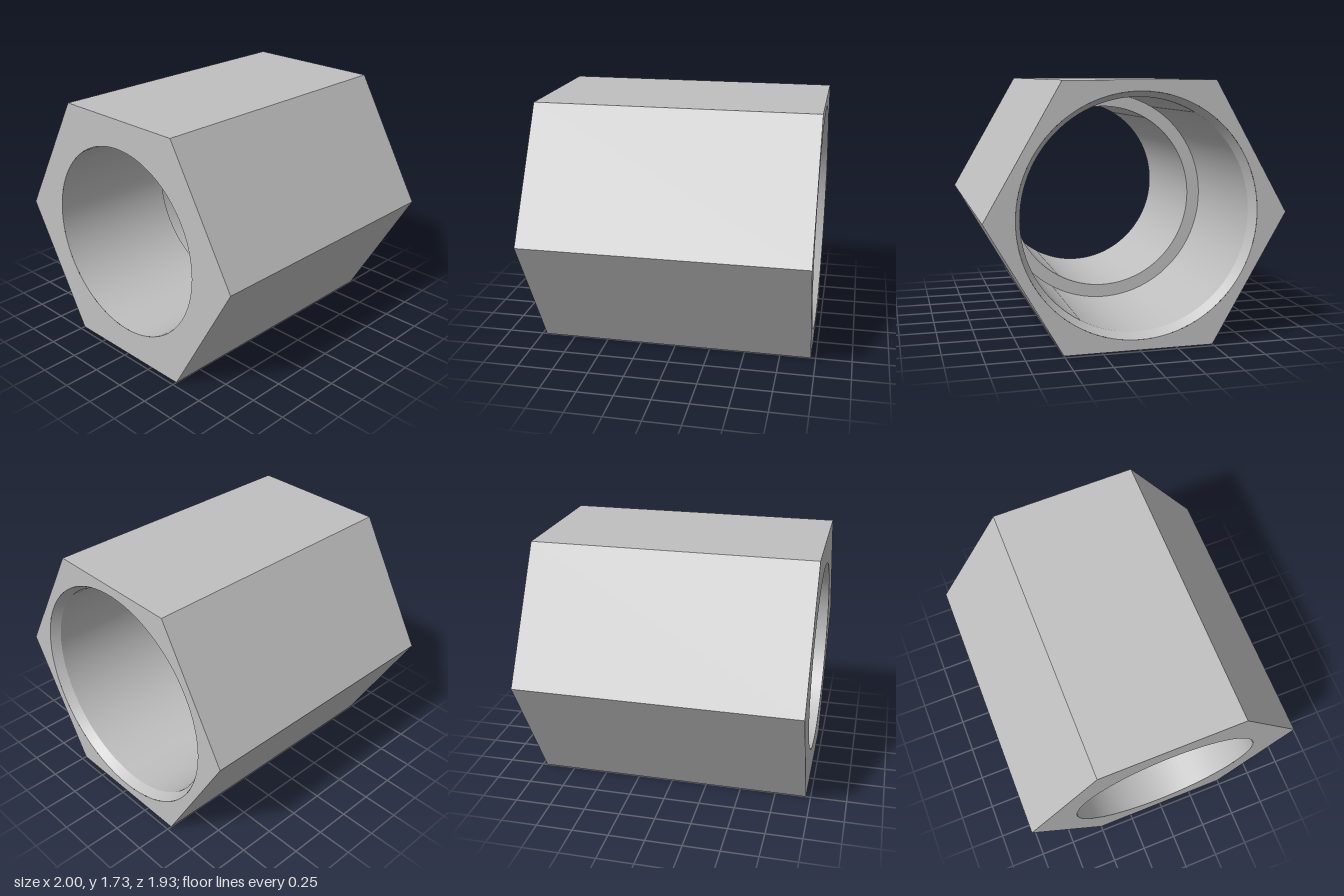
import * as THREE from 'three';

const HALF = 0.967;                 // half the length along z
const CENTRE_Y = Math.sqrt(3) / 2;  // axis height

export function createModel() {
  const group = new THREE.Group();
  group.name = 'hexCoupling';
  const steel = new THREE.MeshStandardMaterial({ color: 0xc0c0c0 });
  steel.name = 'light grey steel';

  const add = (name, geometry) => {
    const mesh = new THREE.Mesh(geometry, steel);
    mesh.name = name;
    mesh.position.y = CENTRE_Y;
    group.add(mesh);
  };

  // Six flat outer sides
  let sides = new THREE.CylinderGeometry(1, 1, 2 * HALF, 6, 1, true, Math.PI / 6);
  sides.rotateX(Math.PI / 2);
  sides = sides.toNonIndexed();
  sides.computeVertexNormals();
  add('hexSides', sides);

  // Hexagonal end faces, each with its own round opening
  const endFace = (holeRadius) => {
    const shape = new THREE.Shape();
    for (let i = 0; i < 6; i++) {
      const a = (i * Math.PI) / 3;
      shape[i ? 'lineTo' : 'moveTo'](Math.cos(a), Math.sin(a));
    }
    shape.closePath();
    shape.holes.push(new THREE.Path().absarc(0, 0, holeRadius, 0, Math.PI * 2, true));
    return new THREE.ShapeGeometry(shape, 96);
  };
  add('frontFace', endFace(0.667).translate(0, 0, HALF));
  add('backFace', endFace(0.797).rotateY(Math.PI).translate(0, 0, -HALF));

  // Stepped bore from front to back; one surface per step keeps the edges sharp
  const steps = [
    ['narrowBore', 0.667, HALF, 0.667, 0.018],
    ['boreShoulder', 0.667, 0.018, 0.76, 0.018],
    ['wideBore', 0.76, 0.018, 0.76, -0.902],
    ['mouthChamfer', 0.76, -0.902, 0.797, -HALF],
  ];
  for (const [name, r0, z0, r1, z1] of steps) {
    const profile = [new THREE.Vector2(r0, z0), new THREE.Vector2(r1, z1)];
    add(name, new THREE.LatheGeometry(profile, 96).rotateX(Math.PI / 2));
  }
  return group;
}
